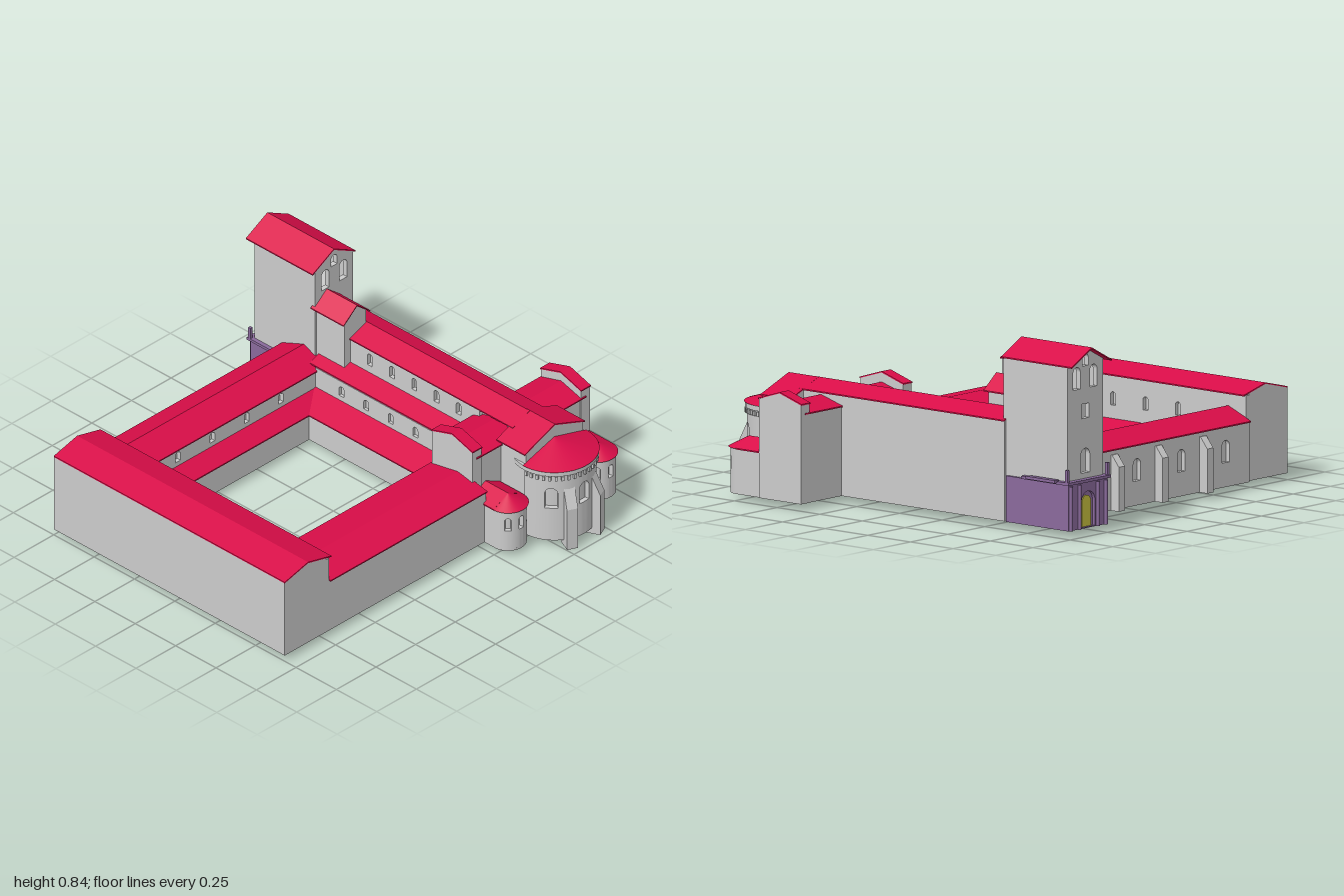
import * as THREE from 'three';
import { toCreasedNormals } from 'three/addons/utils/BufferGeometryUtils.js';

const mat = (color, side = THREE.FrontSide) => new THREE.MeshStandardMaterial({ color, side });
const stone = mat(0xcccccc), stoneThin = mat(0xcccccc, THREE.DoubleSide);
const red = mat(0xd90d48, THREE.DoubleSide), purple = mat(0x8a6a9c), yellow = mat(0xc8c040);
const G = 0.03, T = 0.006; // ground level, roof thickness

function add(parent, name, geometry, material, x = 0, y = 0, z = 0) {
  const m = new THREE.Mesh(geometry, material);
  m.name = name;
  m.position.set(x, y, z);
  parent.add(m);
  return m;
}

function box(parent, name, material, x0, x1, y0, y1, z0, z1) {
  const g = new THREE.BoxGeometry(x1 - x0, y1 - y0, z1 - z0);
  return add(parent, name, g, material, (x0 + x1) / 2, (y0 + y1) / 2, (z0 + z1) / 2);
}

// Arched outline: centre u, sill, width, total height
function arch(P, [u, sill, w, h, square]) {
  const p = new P(), r = w / 2, top = square ? sill + h : sill + h - r;
  p.moveTo(u - r, sill).lineTo(u + r, sill).lineTo(u + r, top);
  if (square) p.lineTo(u - r, top);
  else p.absarc(u, top, r, 0, Math.PI, false);
  p.closePath();
  return p;
}

// Cross-section (u, y) extruded along an axis from a to b, with optional window holes
function prism(parent, name, material, pts, axis, a, b, holes = []) {
  const s = new THREE.Shape(pts.map(p => new THREE.Vector2(...p)));
  for (const h of holes) s.holes.push(arch(THREE.Path, h));
  const g = new THREE.ExtrudeGeometry(s, { depth: b - a, bevelEnabled: false, curveSegments: 8 });
  if (axis === 'x') g.rotateY(-Math.PI / 2).translate(b, 0, 0);
  else g.translate(0, 0, a);
  return add(parent, name, g, material);
}

const panel = (parent, name, u0, u1, y0, y1, axis, a, b, holes, m = stone) =>
  prism(parent, name, m, [[u0, y0], [u1, y0], [u1, y1], [u0, y1]], axis, a, b, holes);

function gableRoof(parent, name, axis, [r0, r1], eave, ridge, a, b) {
  const mid = (r0 + r1) / 2;
  prism(parent, name, red, [[r0, eave - T], [mid, ridge - T], [r1, eave - T],
    [r1, eave], [mid, ridge], [r0, eave]], axis, a, b);
}

// Gabled cross-section fitting beneath a roof
function gablePts([w0, w1], [r0, r1], eave, ridge, base) {
  const mid = (r0 + r1) / 2, slope = (ridge - eave) / (mid - r0);
  const y0 = eave + slope * (w0 - r0) - T, y1 = eave + slope * (r1 - w1) - T;
  return [[w0, base], [w1, base], [w1, y1], [mid, ridge - T], [w0, y0]];
}

function hall(parent, name, axis, wall, roof, eave, ridge, a, b, over = 0, base = G) {
  const g = new THREE.Group();
  g.name = name;
  parent.add(g);
  prism(g, name + 'Walls', stone, gablePts(wall, roof, eave, ridge, base), axis, a, b);
  gableRoof(g, name + 'Roof', axis, roof, eave, ridge, a - over, b + over);
  return g;
}

// Lean-to: low edge at u0, high edge at u1
function leanTo(parent, name, axis, u0, u1, low, high, a, b) {
  const inset = u0 + Math.sign(u1 - u0) * 0.012;
  let body = [[inset, G], [u1, G], [u1, high - T], [inset, low - T]];
  let roof = [[u0, low - T], [u1, high - T], [u1, high], [u0, low]];
  prism(parent, name + 'Walls', stone, body, axis, a, b);
  prism(parent, name + 'Roof', red, roof, axis, a, b);
}

// Half-round wall with arched window recesses
function curvedWall(parent, name, cx, cz, r, top, windows, hw, sill, spring) {
  const H = Math.PI / 2, ri = r - 0.022, pos = [], angles = [];
  for (let i = 0; i <= 36; i++) angles.push(-H + i * Math.PI / 36);
  for (const w of windows) for (let k = 0; k <= 10; k++) angles.push(w - hw * Math.cos(k * Math.PI / 10));
  angles.sort((p, q) => p - q);
  const P = (a, y, rad) => [rad * Math.sin(a), y, rad * Math.cos(a)];
  const quad = (p, q, s, t) => pos.push(...p, ...q, ...s, ...p, ...s, ...t);
  const wallQuad = (a, b, y0, ya, yb) => quad(P(a, y0, r), P(b, y0, r), P(b, yb, r), P(a, ya, r));
  for (let i = 0; i + 1 < angles.length; i++) {
    const a = angles[i], b = angles[i + 1];
    if (b - a < 1e-5) continue;
    const w = windows.find(v => Math.abs((a + b) / 2 - v) < hw);
    if (w === undefined) { wallQuad(a, b, G, top, top); continue; }
    const rise = t => spring + r * Math.sqrt(Math.max(0, hw * hw - (t - w) ** 2));
    const ya = rise(a), yb = rise(b);
    wallQuad(a, b, G, sill, sill);
    quad(P(a, ya, r), P(b, yb, r), P(b, top, r), P(a, top, r));
    quad(P(a, sill, r), P(b, sill, r), P(b, sill, ri), P(a, sill, ri));
    quad(P(a, ya, ri), P(b, yb, ri), P(b, yb, r), P(a, ya, r));
  }
  for (const w of windows) for (const a of [w - hw, w + hw])
    quad(P(a, sill, r), P(a, sill, ri), P(a, spring, ri), P(a, spring, r));
  const g = new THREE.BufferGeometry();
  g.setAttribute('position', new THREE.Float32BufferAttribute(pos, 3));
  g.computeVertexNormals();
  add(parent, name + 'Wall', toCreasedNormals(g, 0.5), stoneThin, cx, 0, cz);
  add(parent, name + 'Core', new THREE.CylinderGeometry(ri, ri, top - G, 40), stone, cx, (top + G) / 2, cz);
  add(parent, name + 'Floor', new THREE.CylinderGeometry(r, r, 0.01, 40), stone, cx, G + 0.005, cz);
}

function halfCone(parent, name, cx, cz, r, low, high) {
  const g = new THREE.ConeGeometry(r, high - low, 32, 1, true, -Math.PI / 2, Math.PI);
  add(parent, name, g, red, cx, (low + high) / 2, cz);
}

const row = (from, to, n, sill, w, h) =>
  Array.from({ length: n }, (_, i) => [from + (to - from) * i / (n - 1), sill, w, h]);

export function createModel() {
  const model = new THREE.Group();
  model.name = 'monastery';

  // Residential wings around the courtyard, with windowed wall panels
  hall(model, 'westWing', 'z', [-1, -0.74], [-1, -0.705], 0.42, 0.457, -0.75, 0.68);
  panel(model, 'westWingInnerWall', -0.75, 0.68, G, 0.415, 'x', -0.74, -0.72, row(-0.35, 0.22, 4, 0.28, 0.03, 0.06));
  hall(model, 'northWing', 'x', [-0.75, -0.54], [-0.78, -0.51], 0.305, 0.36, -0.72, 0.48);
  panel(model, 'northWingOuterWall', -0.72, 0.48, G, 0.305, 'z', -0.77, -0.75, row(-0.56, 0.335, 4, 0.14, 0.05, 0.1));
  panel(model, 'northWingInnerWall', -0.72, 0.48, G, 0.305, 'z', -0.54, -0.52, row(-0.45, 0.2, 4, 0.235, 0.03, 0.05));
  hall(model, 'southWing', 'x', [0.38, 0.68], [0.35, 0.69], 0.3, 0.333, -0.72, 0.27);
  panel(model, 'southWingInnerWall', -0.72, 0.27, G, 0.3, 'z', 0.36, 0.38, row(-0.45, 0.15, 4, 0.225, 0.03, 0.05));
  for (const x of [-0.405, -0.105, 0.19])
    prism(model, 'northButtress', stone, [[-0.815, G], [-0.76, G], [-0.76, 0.28], [-0.775, 0.28], [-0.815, 0.23]],
      'x', x - 0.02, x + 0.02);

  // Cloister galleries
  leanTo(model, 'westGallery', 'z', -0.56, -0.72, 0.17, 0.22, -0.52, 0.36);
  leanTo(model, 'eastGallery', 'z', 0.285, 0.43, 0.17, 0.22, -0.52, 0.36);
  leanTo(model, 'northGallery', 'x', -0.43, -0.525, 0.17, 0.215, -0.72, 0.43);
  leanTo(model, 'southGallery', 'x', 0.3, 0.365, 0.17, 0.2, -0.72, 0.285);

  // Church: nave, aisle, chancel and transept
  hall(model, 'nave', 'z', [0.535, 0.72], [0.51, 0.725], 0.485, 0.525, -0.59, 0.61);
  panel(model, 'naveClerestory', -0.59, 0.4, G, 0.485, 'x', 0.515, 0.535, row(-0.28, 0.27, 5, 0.395, 0.03, 0.06));
  leanTo(model, 'aisle', 'z', 0.42, 0.52, 0.325, 0.36, -0.56, 0.37);
  panel(model, 'aisleWall', -0.52, 0.37, 0.2, 0.318, 'x', 0.418, 0.434, row(-0.36, 0.25, 5, 0.24, 0.03, 0.05));
  hall(model, 'chancel', 'z', [0.44, 0.8], [0.43, 0.81], 0.452, 0.525, 0.59, 0.76, 0.003);
  hall(model, 'transept', 'x', [0.365, 0.605], [0.36, 0.615], 0.435, 0.472, 0.28, 0.97);
  for (const x of [0.255, 0.94])
    hall(model, 'transeptEnd', 'x', [0.362, 0.61], [0.358, 0.614], 0.48, 0.52, x, x + 0.057, 0.002);

  // Main apse with corbels and raking buttresses
  const ax = 0.62, az = 0.76;
  curvedWall(model, 'apse', ax, az, 0.187, 0.4, [-0.87, 0, 0.87], 0.16, 0.2, 0.275);
  halfCone(model, 'apseRoof', ax, az, 0.2, 0.398, 0.457);
  for (let i = 0; i <= 20; i++) {
    const a = -1.5 + i * 0.15;
    const c = add(model, 'corbel', new THREE.BoxGeometry(0.012, 0.022, 0.014), stone,
      ax + 0.19 * Math.sin(a), 0.36, az + 0.19 * Math.cos(a));
    c.rotation.y = a;
  }
  add(model, 'apseCornice', new THREE.CylinderGeometry(0.195, 0.195, 0.022, 40), stone, ax, 0.385, az);
  for (const s of [-1, 1]) {
    const b = prism(model, 'apseButtress', stone,
      [[0.15, 0], [0.225, 0], [0.225, 0.21], [0.185, 0.3], [0.15, 0.3]], 'x', -0.026, 0.026);
    b.position.set(ax, 0, az);
    b.rotation.y = s * 0.43;
  }

  // Side chapels with small apses
  for (const x of [0.343, 0.907]) {
    hall(model, 'chapel', 'z', [x - 0.083, x + 0.083], [x - 0.09, x + 0.09], 0.237, 0.282, 0.59, 0.745);
    curvedWall(model, 'chapelApse', x, 0.745, 0.083, 0.237, [-0.8, 0, 0.8], 0.18, 0.135, 0.185);
    halfCone(model, 'chapelApseRoof', x, 0.745, 0.092, 0.235, 0.282);
  }

  // Bell tower with pierced gable walls
  const tw = [0.47, 0.71], tr = [0.455, 0.725];
  const belfry = [[0.59, 0.755, 0.04, 0.055], [0.535, 0.655, 0.048, 0.1], [0.648, 0.655, 0.048, 0.1]];
  const gable = gablePts(tw, tr, 0.77, 0.842, G);
  prism(model, 'towerSouthWall', stone, gable, 'z', -0.6, -0.575, belfry);
  prism(model, 'towerNorthWall', stone, gable, 'z', -0.95, -0.925,
    [...belfry, [0.59, 0.52, 0.05, 0.065, true], [0.59, 0.275, 0.06, 0.11]]);
  for (const x of [0.47, 0.685]) box(model, 'towerSideWall', stone, x, x + 0.025, G, 0.77, -0.926, -0.599);
  box(model, 'belfryFloor', stone, 0.494, 0.686, 0.6, 0.62, -0.926, -0.599);
  box(model, 'towerWindowBacking', stone, 0.494, 0.686, G, 0.6, -0.9, -0.6);
  gableRoof(model, 'towerRoof', 'z', tr, 0.77, 0.842, -0.988, -0.575);

  // Stair turret against the tower
  hall(model, 'turret', 'z', [0.478, 0.612], [0.46, 0.63], 0.583, 0.652, -0.58, -0.4, 0.012, 0.3);

  // Porch cladding with arched doorway
  const porch = new THREE.Group();
  porch.name = 'porch';
  model.add(porch);
  box(porch, 'porchBody', purple, 0.462, 0.722, G, 0.237, -0.952, -0.6);
  panel(porch, 'porchFront', 0.462, 0.722, G, 0.237, 'z', -0.967, -0.952, [[0.59, 0.035, 0.09, 0.16]], purple);
  const door = new THREE.ExtrudeGeometry(arch(THREE.Shape, [0.59, 0.035, 0.06, 0.14]), { depth: 0.006, bevelEnabled: false });
  add(porch, 'door', door, yellow, 0, 0, -0.957);
  for (const x of [0.475, 0.528, 0.652, 0.71])
    add(porch, 'doorColumn', new THREE.CylinderGeometry(0.009, 0.009, 0.2, 10), purple, x, 0.13, -0.97);
  box(porch, 'porchCornice', purple, 0.45, 0.735, 0.237, 0.25, -0.978, -0.7);
  box(porch, 'porchLedge', purple, 0.722, 0.75, 0.243, 0.256, -0.91, -0.74);
  for (const x of [0.458, 0.727])
    box(porch, 'porchFinial', purple, x - 0.007, x + 0.007, 0.25, 0.305, -0.97, -0.956);
  return model;
}
